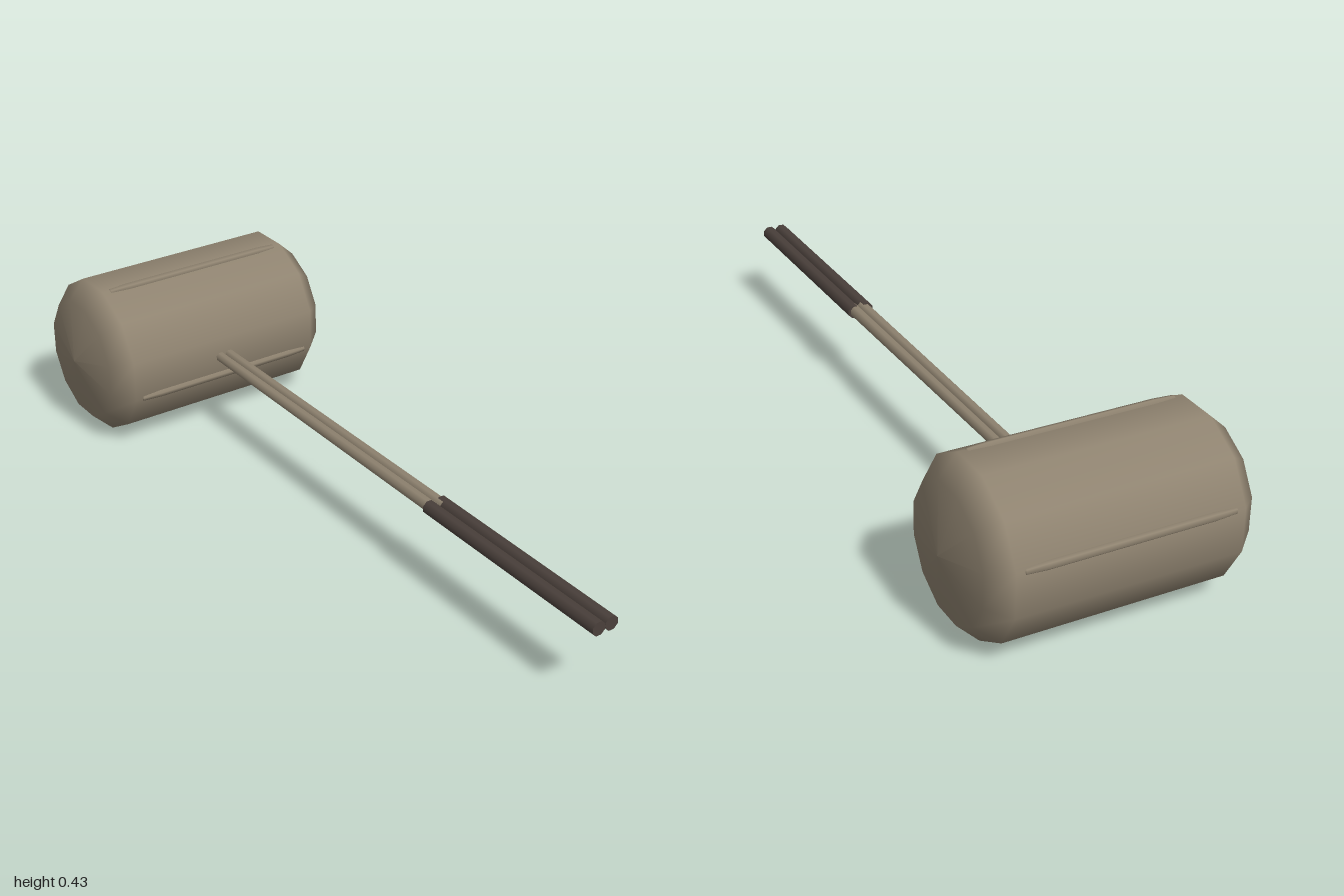
import * as THREE from 'three';

const HEAD_Y = 0.217, HEAD_Z = -0.784;

// Faceted solid of revolution about its own y axis, given half a profile mirrored end to end
function turned(half, sides, phi) {
  const pts = [
    ...half.map(([r, h]) => new THREE.Vector2(r, -h)),
    ...half.slice().reverse().map(([r, h]) => new THREE.Vector2(r, h)),
  ];
  return new THREE.LatheGeometry(pts, sides, phi);
}

export function createModel() {
  const wood = new THREE.MeshStandardMaterial({ color: 0x8f8370 });
  wood.name = 'wood';
  const grip = new THREE.MeshStandardMaterial({ color: 0x4a403b });
  grip.name = 'darkGrip';

  const model = new THREE.Group();
  model.name = 'mallet';
  const add = (name, geometry, material, parent = model) => {
    const mesh = new THREE.Mesh(geometry, material);
    mesh.name = name;
    parent.add(mesh);
    return mesh;
  };

  // Head: twelve-sided barrel lying along x, with domed ends
  const head = new THREE.Group();
  head.name = 'head';
  head.position.set(0, HEAD_Y, HEAD_Z);
  model.add(head);
  const barrel = turned([[0, 0.363], [0.168, 0.339], [0.218, 0.287]], 12, Math.PI / 12);
  add('barrel', barrel.rotateZ(Math.PI / 2), wood, head);

  // Four slim ridges half sunk into the barrel's corners
  for (let i = 0; i < 4; i++) {
    const a = Math.PI / 12 + (i * Math.PI) / 2;
    const ridge = turned([[0, 0.268], [0.009, 0.264], [0.012, 0.21]], 6, 0);
    const mesh = add('ridge', ridge.rotateZ(Math.PI / 2), wood, head);
    mesh.position.set(0, 0.213 * Math.cos(a), 0.213 * Math.sin(a));
    mesh.rotation.x = a;
  }

  // Handle: a pair of tapering rods with thicker dark grips
  const rod = (name, r0, r1, z0, z1, x, material) => {
    const g = new THREE.CylinderGeometry(r1, r0, z1 - z0, 8, 1, false, Math.PI / 8);
    const mesh = add(name, g.rotateX(Math.PI / 2), material);
    mesh.position.set(x, HEAD_Y, (z0 + z1) / 2);
  };
  for (const side of [-1, 1]) {
    const label = side > 0 ? 'left' : 'right';
    rod(label + 'Rod', 0.014, 0.0165, -0.62, 0.41, side * 0.0145, wood);
    rod(label + 'Grip', 0.019, 0.0195, 0.39, 1, side * 0.0185, grip);
  }
  return model;
}
